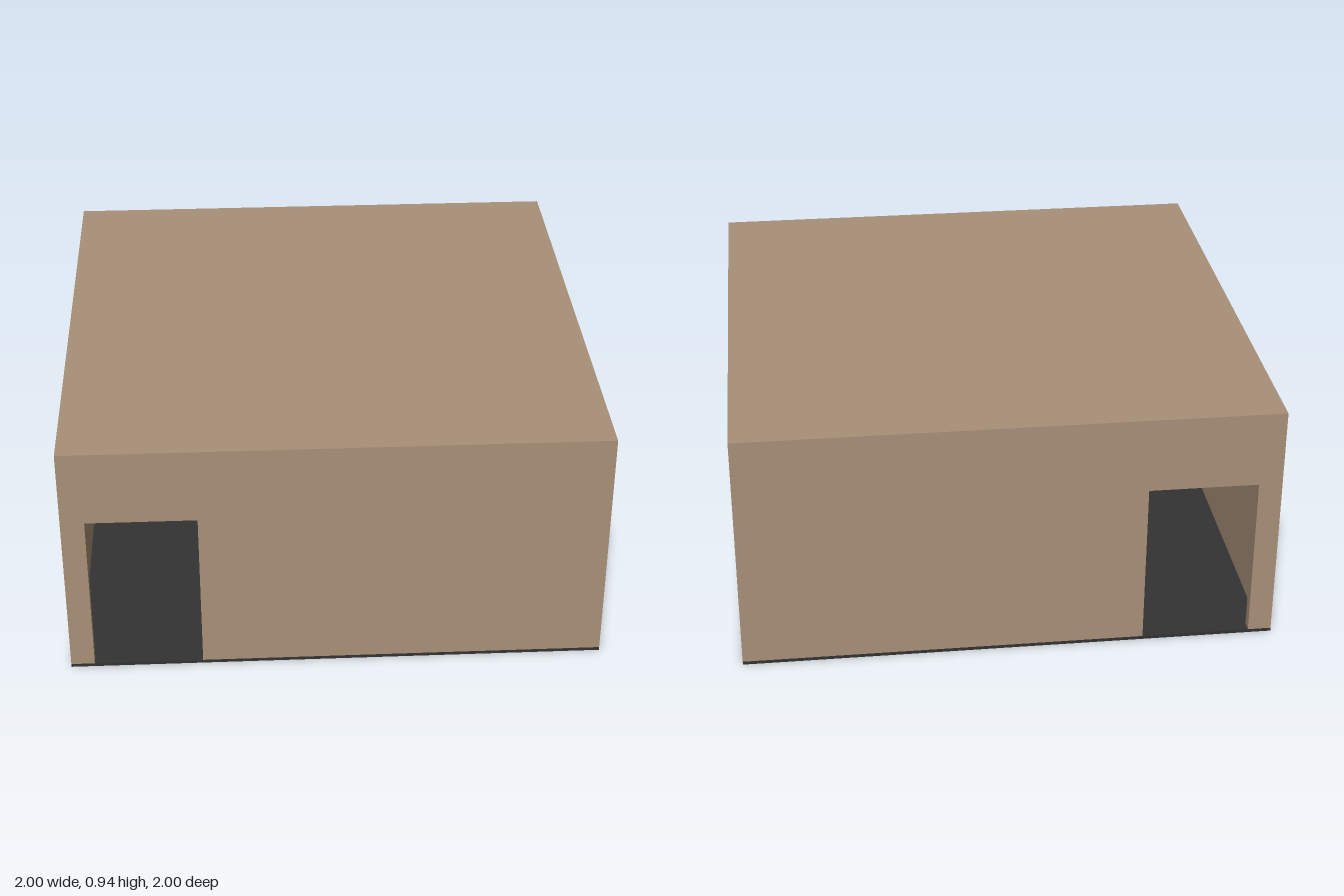
import * as THREE from 'three';

const T = 0.04;       // wall and roof thickness
const FLOOR = 0.013;  // floor slab thickness
const TOP = 0.94;     // overall height

// Slab with its outer face at z = 0, the inner face mitred at the sides
// and top so that neighbouring slabs meet without a visible seam.
function mitredSlab(shape, top, bottom) {
  const geo = new THREE.ExtrudeGeometry(shape, { depth: T, bevelEnabled: false });
  geo.translate(0, 0, -T);
  const p = geo.attributes.position;
  const near = (a, b) => Math.abs(a - b) < 1e-4;
  for (let i = 0; i < p.count; i++) {
    if (p.getZ(i) > -T / 2) continue;
    const x = p.getX(i), y = p.getY(i);
    if (near(Math.abs(x), 1)) p.setX(i, x * (1 - T));
    if (near(y, top)) p.setY(i, y - T);
    if (near(y, bottom)) p.setY(i, y + T);
  }
  geo.computeVertexNormals();
  return geo;
}

const rect = (x0, y0, x1, y1) =>
  [[x0, y0], [x1, y0], [x1, y1], [x0, y1]].map(([x, y]) => new THREE.Vector2(x, y));

// Wall outline, optionally notched by a doorway [x0, x1, top]
function wallShape(door) {
  const pts = rect(-1, FLOOR, 1, TOP);
  if (door) {
    const [x0, x1, h] = door;
    const notch = [[x0, FLOOR], [x0, h], [x1, h], [x1, FLOOR]];
    pts.splice(1, 0, ...notch.map(([x, y]) => new THREE.Vector2(x, y)));
  }
  return new THREE.Shape(pts);
}

export function createModel() {
  const group = new THREE.Group();
  const plaster = new THREE.MeshStandardMaterial({ color: 0xa89078 });
  const dark = new THREE.MeshStandardMaterial({ color: 0x333333 });

  const add = (name, geo, material) => {
    const mesh = new THREE.Mesh(geo, material);
    mesh.name = name;
    group.add(mesh);
    return mesh;
  };

  // Floor slab
  add('floor', new THREE.BoxGeometry(2, FLOOR, 2), dark).position.y = FLOOR / 2;

  // Four walls: doorways face each other front and back, window on +x
  const windowWall = wallShape();
  windowWall.holes.push(new THREE.Path(rect(-0.131, 0.326, 0.275, 0.708).reverse()));
  const walls = [
    ['frontWall', wallShape([-0.912, -0.505, 0.65]), 0],
    ['windowWall', windowWall, Math.PI / 2],
    ['backWall', wallShape([0.505, 0.912, 0.65]), Math.PI],
    ['plainWall', wallShape(), -Math.PI / 2],
  ];
  for (const [name, shape, angle] of walls) {
    const geo = mitredSlab(shape, TOP);
    geo.translate(0, 0, 1).rotateY(angle);
    add(name, geo, plaster);
  }

  // Flat roof
  const roof = mitredSlab(new THREE.Shape(rect(-1, -1, 1, 1)), 1, -1);
  roof.rotateX(-Math.PI / 2).translate(0, TOP, 0);
  add('roof', roof, plaster);

  return group;
}
